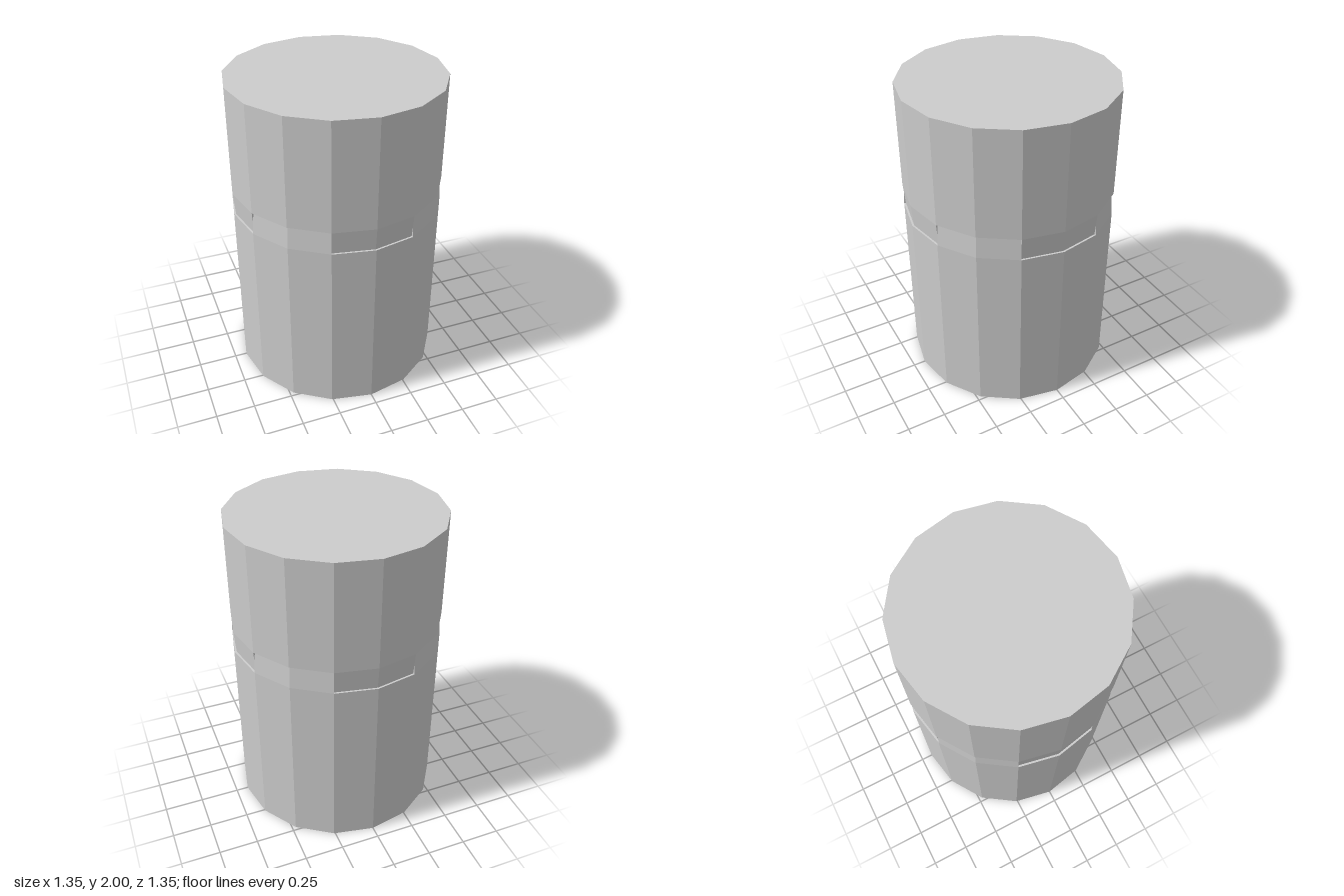
import * as THREE from 'three';

const SIDES = 16;
const R = 0.673;        // outer radius
const INSET = 0.661;    // radius of the recessed edge of each joint face
const LOW = 1.163, HIGH = 1.308, TOP = 2;
const STEP = (Math.PI * 2) / SIDES;

export function createModel() {
  const model = new THREE.Group();
  model.name = 'jointedCylinder';
  const grey = new THREE.MeshStandardMaterial({ color: 0xcccccc });
  grey.flatShading = true;
  grey.side = THREE.DoubleSide;

  const add = (name, geometry, y = 0) => {
    const mesh = new THREE.Mesh(geometry, grey);
    mesh.name = name;
    mesh.position.y = y;
    model.add(mesh);
    return mesh;
  };

  // Lower and upper bodies; their caps form the ledges of the joint
  add('lowerBody', new THREE.CylinderGeometry(R, R, LOW, SIDES), LOW / 2);
  add('upperBody', new THREE.CylinderGeometry(R, R, TOP - HIGH, SIDES), (TOP + HIGH) / 2);

  // Interlocking joint: two-sided faces that taper down and up in turn
  const middle = (LOW + HIGH) / 2;
  for (let i = 0; i < 8; i++) {
    const fromAbove = i % 2 === 0;
    const start = (i * 2 - 1) * STEP;
    add(fromAbove ? 'upperTab' : 'lowerTab', new THREE.CylinderGeometry(
      fromAbove ? R : INSET, fromAbove ? INSET : R, HIGH - LOW, 2, 1, true, start, STEP * 2), middle);

    // Small triangular side walls where neighbouring tabs cross
    const mid = (R + INSET) / 2;
    const wall = new THREE.BufferGeometry();
    wall.setAttribute('position', new THREE.Float32BufferAttribute([
      0, HIGH, INSET, 0, HIGH, R, 0, middle, mid,
      0, LOW, R, 0, LOW, INSET, 0, middle, mid,
    ], 3));
    if (!fromAbove) wall.setIndex([0, 2, 1, 3, 5, 4]);
    wall.computeVertexNormals();
    add('tabSideWall', wall).rotation.y = start;
  }
  return model;
}
